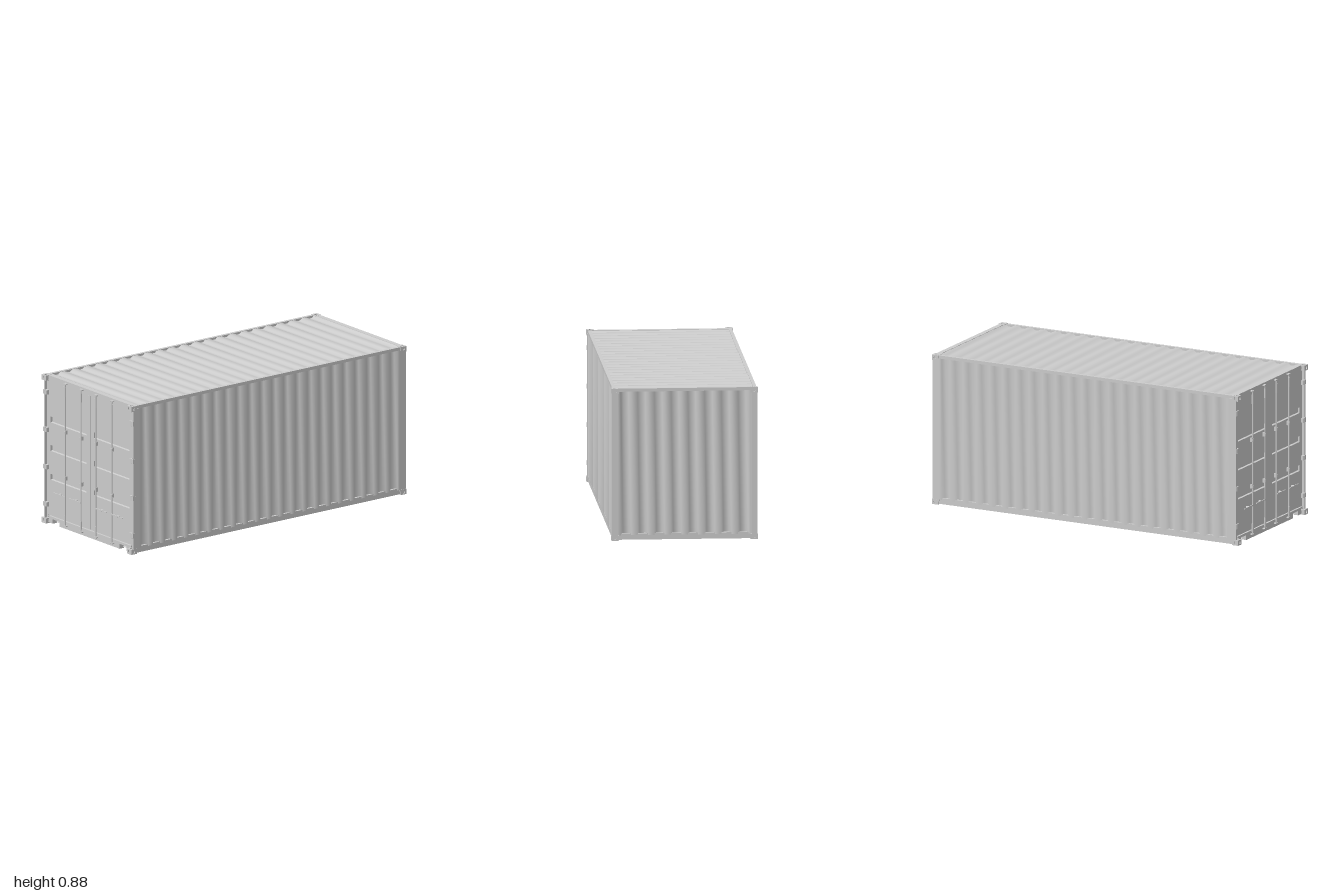
import * as THREE from 'three';

const paint = new THREE.MeshStandardMaterial({ color: 0xcccccc, side: THREE.DoubleSide });
paint.name = 'greyPaint';
const X = new THREE.Vector3(1, 0, 0), Y = new THREE.Vector3(0, 1, 0), Z = new THREE.Vector3(0, 0, 1);

function add(parent, name, geometry, x = 0, y = 0, z = 0) {
  const mesh = new THREE.Mesh(geometry, paint);
  mesh.name = name;
  mesh.position.set(x, y, z);
  parent.add(mesh);
  return mesh;
}

// Box given by its lower and upper limits
function block(parent, name, x0, x1, y0, y1, z0, z1) {
  return add(parent, name, new THREE.BoxGeometry(x1 - x0, y1 - y0, z1 - z0), (x0 + x1) / 2, (y0 + y1) / 2, (z0 + z1) / 2);
}

// Sheet bent along profile [u, v], drawn out to a width; u and v become the given axes
function sheet(profile, width, uAxis, vAxis, smooth) {
  const pos = [], index = [];
  profile.forEach(([u, v], i) => {
    pos.push(u, v, -width / 2, u, v, width / 2);
    const a = i * 2;
    if (i < profile.length - 1) index.push(a, a + 1, a + 3, a, a + 3, a + 2);
  });
  let g = new THREE.BufferGeometry();
  g.setAttribute('position', new THREE.Float32BufferAttribute(pos, 3));
  g.setIndex(index);
  if (!smooth) g = g.toNonIndexed();
  g.applyMatrix4(new THREE.Matrix4().makeBasis(uAxis, vAxis, new THREE.Vector3().crossVectors(uAxis, vAxis)));
  g.computeVertexNormals();
  return g;
}

// Trapezoid waves between u0 and u1, from 0 down to -depth
function waves(u0, u1, count, depth) {
  const p = (u1 - u0) / count, pts = [[u0, 0]];
  for (let i = 0; i < count; i++) {
    const s = u0 + i * p;
    pts.push([s + p * 0.19, 0], [s + p * 0.34, -depth], [s + p * 0.66, -depth], [s + p * 0.81, 0]);
  }
  pts.push([u1, 0]);
  return pts;
}

function rectPath(path, x0, x1, y0, y1) {
  path.moveTo(x0, y0);
  path.lineTo(x1, y0);
  path.lineTo(x1, y1);
  path.lineTo(x0, y1);
  path.closePath();
  return path;
}

// Corner block: hollow-looking cube with an oval opening in each face
function cornerCasting(w, h, d) {
  const group = new THREE.Group(), t = 0.006;
  group.name = 'cornerCasting';
  add(group, 'castingCore', new THREE.BoxGeometry(w - 2 * t, h - 2 * t, d - 2 * t));
  const plate = (a, b, distance, rx, ry) => {
    const shape = rectPath(new THREE.Shape(), -a / 2, a / 2, -b / 2, b / 2);
    const hole = new THREE.Path();
    hole.absellipse(0, 0, a * 0.2, b * 0.34, 0, Math.PI * 2, true);
    shape.holes.push(hole);
    const g = new THREE.ExtrudeGeometry(shape, { depth: t, bevelEnabled: false, curveSegments: 8 });
    g.translate(0, 0, distance / 2 - t).rotateX(rx).rotateY(ry);
    add(group, 'castingFace', g);
  };
  const q = Math.PI / 2;
  plate(w, h, d, 0, 0);
  plate(w, h, d, 0, 2 * q);
  plate(d, h, w, 0, q);
  plate(d, h, w, 0, -q);
  plate(w, d, h, q, 0);
  plate(w, d, h, -q, 0);
  return group;
}

// Door leaf with three pressed-in channels
function doorLeaf(side) {
  const group = new THREE.Group();
  group.name = side > 0 ? 'leftDoor' : 'rightDoor';
  const span = (a, b) => (side > 0 ? [a, b] : [-b, -a]);
  const face = 0.972, depth = 0.012;
  const shape = rectPath(new THREE.Shape(), ...span(0.0015, 0.395), 0.047, 0.848);
  const [x0, x1] = span(0.035, 0.369);
  for (const y of [0.278, 0.45, 0.621]) {
    shape.holes.push(rectPath(new THREE.Path(), x0, x1, y - 0.0175, y + 0.0175));
    const channel = [[-0.0175, 0], [-0.015, -depth], [0.013, -depth], [0.0175, 0]];
    add(group, 'doorChannel', sheet(channel, x1 - x0, Y, Z, false), (x0 + x1) / 2, y, face);
  }
  add(group, 'doorPanel', new THREE.ExtrudeGeometry(shape, { depth, bevelEnabled: false }), 0, 0, face - depth);
  // Hinges
  for (const y of [0.11, 0.333, 0.556, 0.78]) {
    const [a, b] = span(0.386, 0.419);
    block(group, 'hinge', a, b, y - 0.013, y + 0.013, 0.968, 0.988);
    add(group, 'hingePin', new THREE.CylinderGeometry(0.005, 0.005, 0.03, 10), side * 0.404, y, 0.986);
  }
  return group;
}

// Upright locking bar with cams, sleeves, guides and a handle
function lockingBar(x, handleDir) {
  const group = new THREE.Group();
  group.name = 'lockingBar';
  group.position.set(x, 0, 0.985);
  const tube = (name, r, y0, y1) => add(group, name, new THREE.CylinderGeometry(r, r, y1 - y0, 12), 0, (y0 + y1) / 2, 0);
  tube('bar', 0.0045, 0.02, 0.872);
  tube('lowerSleeve', 0.006, 0.035, 0.085);
  tube('upperSleeve', 0.006, 0.795, 0.85);
  for (const y of [0.305, 0.58]) {
    tube('guide', 0.0075, y - 0.007, y + 0.007);
    block(group, 'guideFoot', -0.006, 0.006, y - 0.012, y + 0.012, -0.014, 0);
  }
  for (const y of [0.021, 0.87]) {
    block(group, 'camKeeper', -0.009, 0.009, y - 0.004, y + 0.004, -0.015, 0.004);
    for (const s of [-1, 1]) {
      add(group, 'camBolt', new THREE.CylinderGeometry(0.005, 0.005, 0.018, 10).rotateX(Math.PI / 2), s * 0.008, y, -0.004);
    }
  }
  const reach = (a, b) => (handleDir > 0 ? [a, b] : [-b, -a]);
  block(group, 'handle', ...reach(0, 0.108), 0.191, 0.198, 0.001, 0.006);
  add(group, 'handleHub', new THREE.CylinderGeometry(0.007, 0.007, 0.018, 12).rotateX(Math.PI / 2).scale(1.3, 0.85, 1), handleDir * 0.053, 0.1945, -0.002);
  return group;
}

export function createModel() {
  const model = new THREE.Group();
  model.name = 'shippingContainer';

  // Corrugated walls, roof and floor
  add(model, 'roofPanel', sheet(waves(-0.975, 0.955, 22, 0.011), 0.804, Z, Y, true), 0, 0.882, 0);
  add(model, 'floorPanel', sheet(waves(-0.975, 0.955, 22, 0.012), 0.804, Z, Y.clone().negate(), true), 0, 0.01, 0);
  for (const s of [-1, 1]) {
    add(model, s > 0 ? 'leftWall' : 'rightWall', sheet(waves(-0.955, 0.94, 22, 0.016), 0.845, Z, X.clone().multiplyScalar(s), true), s * 0.414, 0.4525, 0);
  }
  add(model, 'backWall', sheet(waves(-0.385, 0.385, 8, 0.018), 0.845, X, Z.clone().negate(), true), 0, 0.4525, -0.991);

  // Side rails and corner posts
  for (const s of [-1, 1]) {
    const rail = (name, inner, outer, ...rest) => block(model, name, Math.min(s * inner, s * outer), Math.max(s * inner, s * outer), ...rest);
    rail('topRail', 0.395, 0.4145, 0.866, 0.884, -0.97, 0.97);
    rail('bottomRail', 0.395, 0.4125, 0.004, 0.04, -0.97, 0.97);
    rail('frontPost', 0.407, 0.418, 0.02, 0.865, 0.94, 0.984);
    rail('frontPostReturn', 0.398, 0.41, 0.02, 0.865, 0.94, 0.968);
    rail('backPost', 0.383, 0.418, 0.02, 0.865, -0.997, -0.955);
  }

  // End beams
  block(model, 'header', -0.405, 0.405, 0.85, 0.884, 0.945, 0.976);
  block(model, 'backTopRail', -0.395, 0.395, 0.866, 0.884, -0.994, -0.965);
  block(model, 'backBottomRail', -0.395, 0.395, 0.004, 0.04, -0.991, -0.965);

  // Door sill with two fork pockets
  const sill = new THREE.Shape();
  const steps = [[-0.385, 0.003], [-0.345, 0.003], [-0.345, 0.029], [-0.28, 0.029], [-0.28, 0]];
  const outline = [...steps, ...steps.map(([x, y]) => [-x, y]).reverse(), [0.385, 0.043], [-0.385, 0.043]];
  sill.setFromPoints(outline.map(([x, y]) => new THREE.Vector2(x, y)));
  add(model, 'doorSill', new THREE.ExtrudeGeometry(sill, { depth: 0.032, bevelEnabled: false }), 0, 0, 0.944);

  // Corner castings
  for (const x of [-0.399, 0.399]) for (const y of [0.0155, 0.8695]) for (const z of [-0.98, 0.98]) {
    const casting = cornerCasting(0.042, 0.031, 0.04);
    casting.position.set(x, y, z);
    model.add(casting);
  }

  // Doors and locking gear
  block(model, 'doorSeal', -0.4, 0.4, 0.042, 0.852, 0.952, 0.9595);
  model.add(doorLeaf(1), doorLeaf(-1));
  for (const [x, dir] of [[-0.218, -1], [-0.07, -1], [0.067, 1], [0.217, 1]]) model.add(lockingBar(x, dir));
  return model;
}
